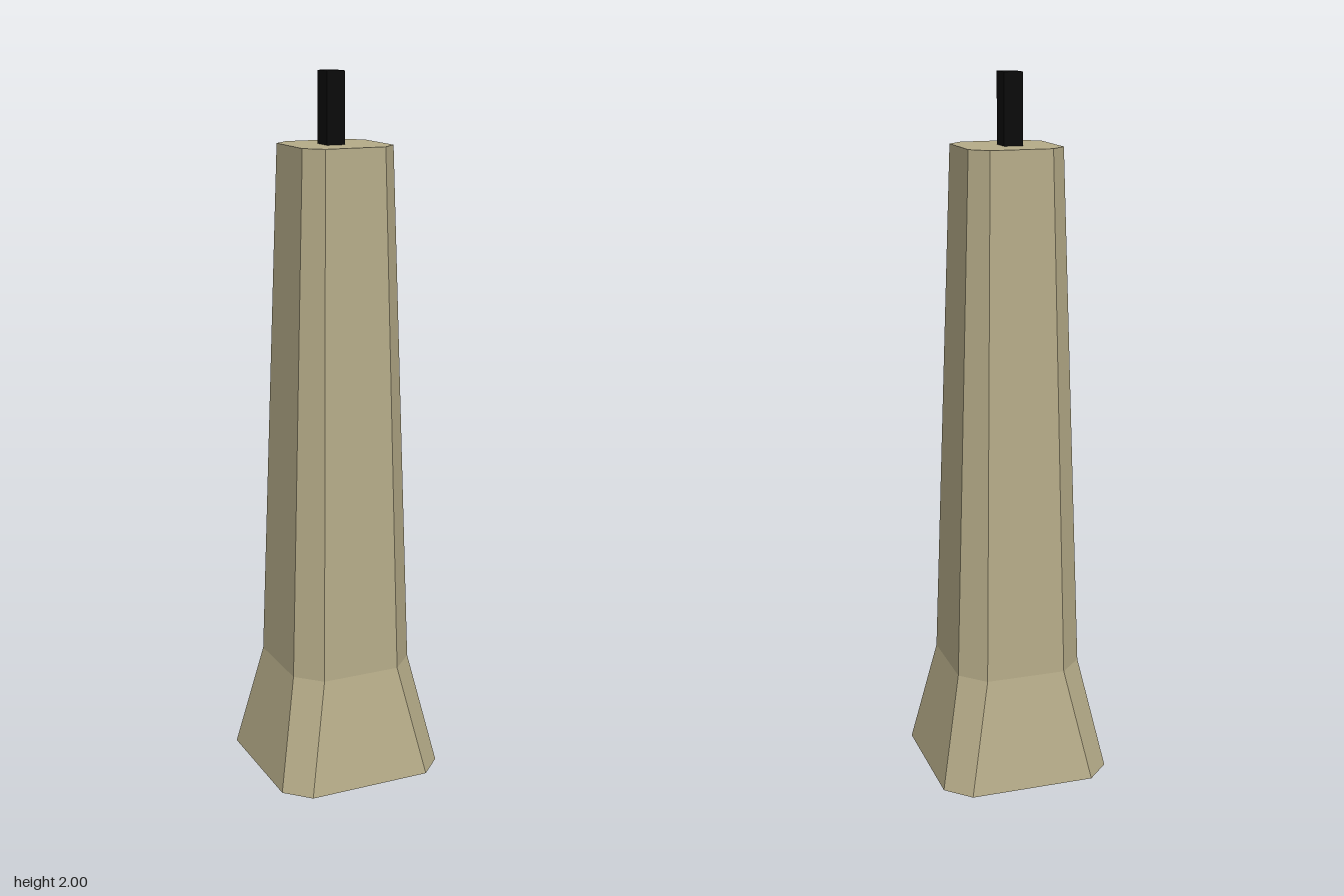
import * as THREE from 'three';

// Octagonal ring: half = distance to the flat sides, flat = half length of the main sides
function ring(half, flat, y) {
  return [
    [flat, half], [half, flat], [half, -flat], [flat, -half],
    [-flat, -half], [-half, -flat], [-half, flat], [-flat, half],
  ].map(([x, z]) => new THREE.Vector3(x, y, z));
}

// Joins stacked rings with flat faces and closes both ends
function loft(rings) {
  const points = [];
  const n = rings[0].length;
  for (let r = 0; r < rings.length - 1; r++) {
    const lower = rings[r], upper = rings[r + 1];
    for (let i = 0; i < n; i++) {
      const j = (i + 1) % n;
      points.push(lower[i], lower[j], upper[j], lower[i], upper[j], upper[i]);
    }
  }
  const bottom = rings[0], top = rings[rings.length - 1];
  for (let i = 1; i < n - 1; i++) {
    points.push(top[0], top[i], top[i + 1]);
    points.push(bottom[0], bottom[i + 1], bottom[i]);
  }
  const geometry = new THREE.BufferGeometry().setFromPoints(points);
  geometry.computeVertexNormals();
  return geometry;
}

export function createModel() {
  const model = new THREE.Group();
  model.name = 'chamferedPillar';

  const stone = new THREE.MeshStandardMaterial({ color: 0xb5ab88 });
  stone.name = 'tan stone';
  const black = new THREE.MeshStandardMaterial({ color: 0x0b0b0b });
  black.name = 'black';

  // Flared foot and tapering shaft
  const pillar = new THREE.Mesh(loft([
    ring(0.247, 0.18, 0),
    ring(0.182, 0.115, 0.32),
    ring(0.134, 0.088, 1.805),
  ]), stone);
  pillar.name = 'pillar';
  model.add(pillar);

  // Short square pin, slightly off centre on the top
  const pin = new THREE.Mesh(new THREE.BoxGeometry(0.053, 0.2, 0.064), black);
  pin.name = 'topPin';
  pin.position.set(-0.01, 1.9, -0.001);
  model.add(pin);

  return model;
}
